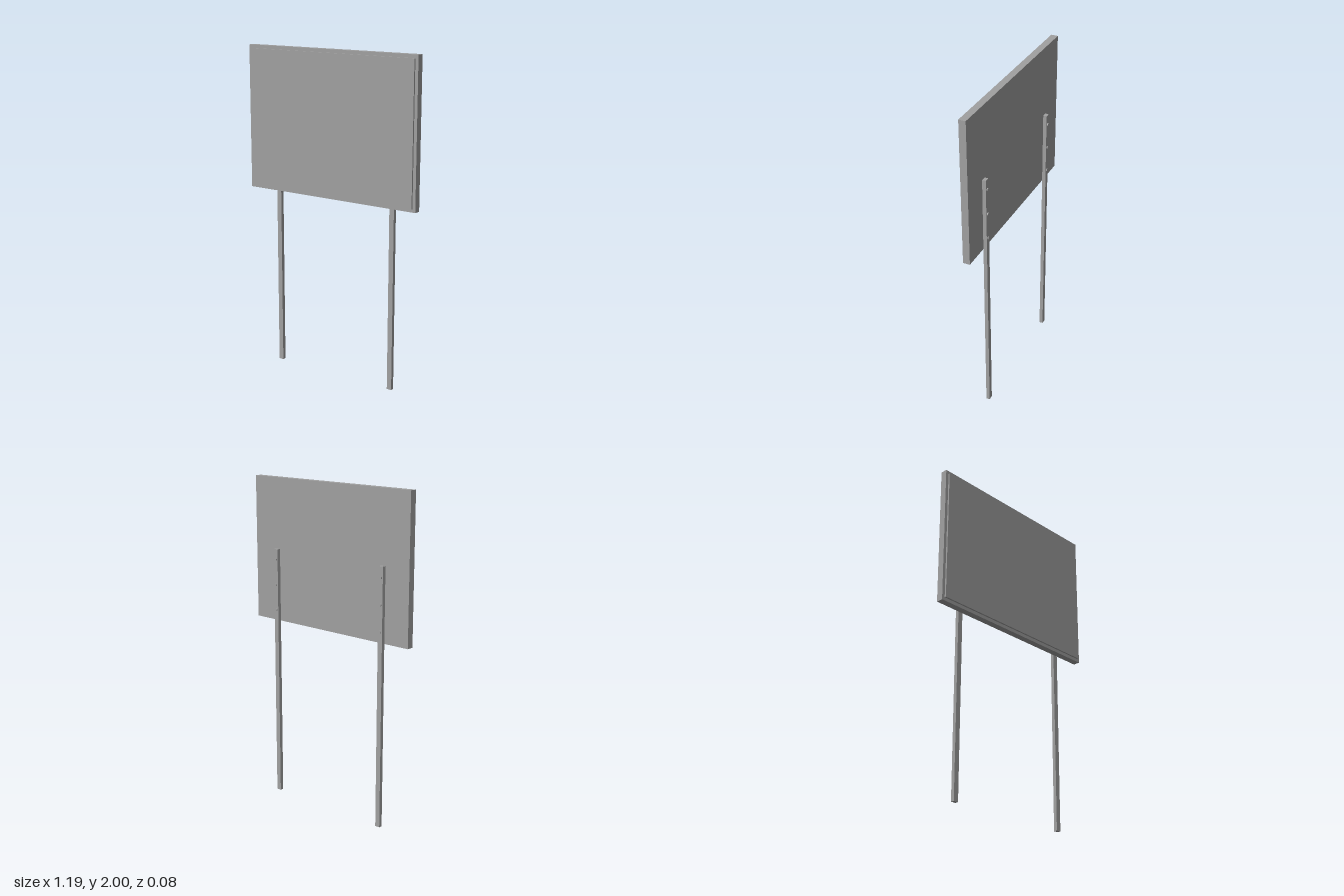
import * as THREE from 'three';

export function createModel() {
  const model = new THREE.Group();
  const grey = new THREE.MeshStandardMaterial({ color: 0xa0a0a0 });
  grey.name = 'grey';

  function add(parent, name, geometry, x, y, z) {
    const mesh = new THREE.Mesh(geometry, grey);
    mesh.name = name;
    mesh.position.set(x, y, z);
    parent.add(mesh);
    return mesh;
  }

  // Sign board with a thinner raised face
  add(model, 'backPanel', new THREE.BoxGeometry(1.19, 0.876, 0.042), 0, 1.562, 0.007);
  add(model, 'facePlate', new THREE.BoxGeometry(1.152, 0.836, 0.01), 0, 1.562, 0.033);

  // Two posts behind the board, each held by three bolts
  const postGeometry = new THREE.BoxGeometry(0.031, 1.57, 0.022);
  const boltGeometry = new THREE.CylinderGeometry(0.009, 0.009, 0.008, 12).rotateX(Math.PI / 2);
  for (const [side, name] of [[1, 'left'], [-1, 'right']]) {
    const support = new THREE.Group();
    support.name = name + 'Support';
    support.position.x = side * 0.412;
    add(support, 'post', postGeometry, 0, 0.785, -0.025);
    for (const y of [1.195, 1.352, 1.508]) add(support, 'bolt', boltGeometry, 0, y, -0.038);
    model.add(support);
  }
  return model;
}
